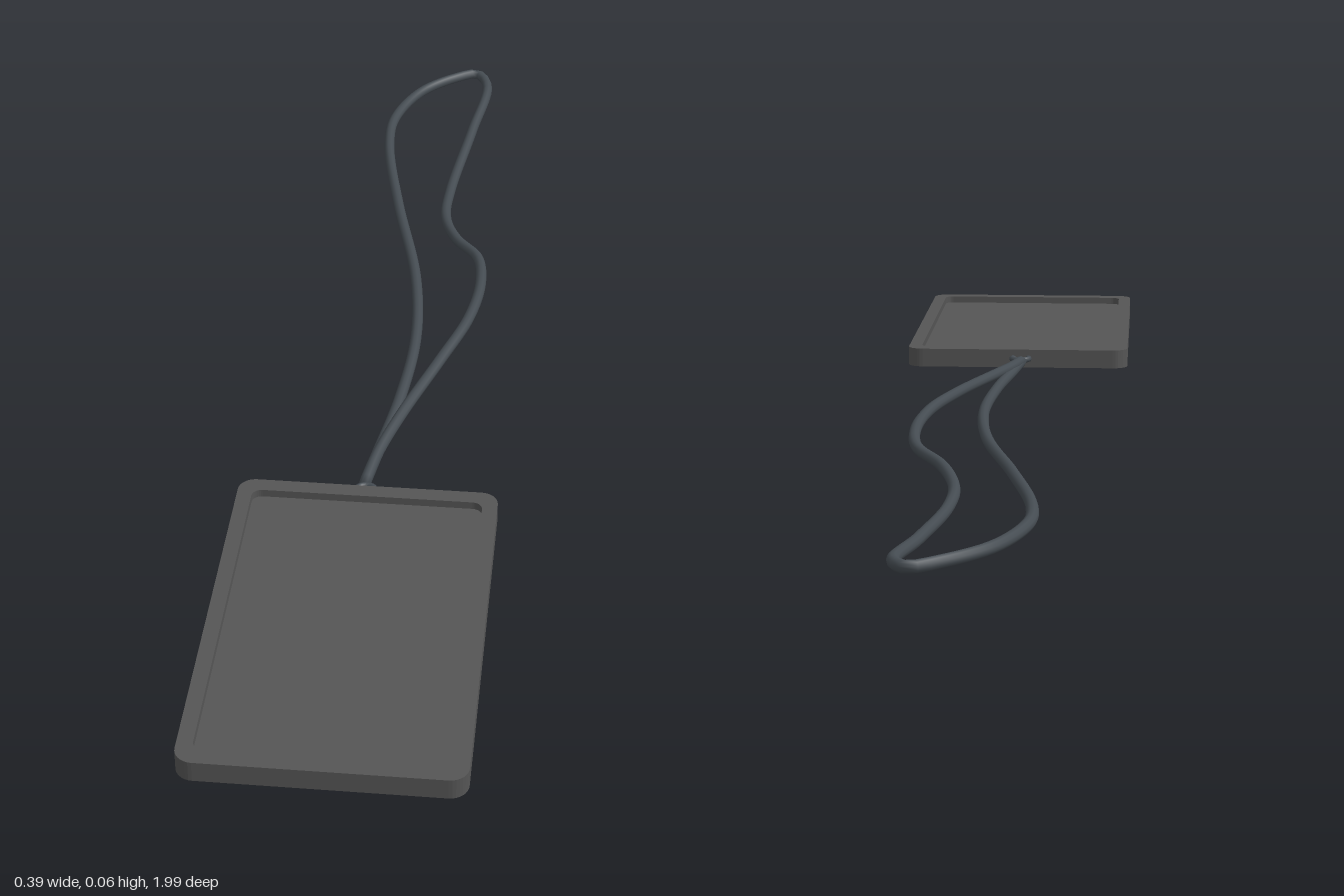
import * as THREE from 'three';

const cardMaterial = new THREE.MeshStandardMaterial({ color: 0x555555 });
const cordMaterial = new THREE.MeshStandardMaterial({ color: 0x454c52 });

// Centred rectangle with rounded corners
function roundedRect(Type, w, h, r) {
  const p = new Type(), x = w / 2, y = h / 2;
  p.moveTo(-x + r, -y);
  p.lineTo(x - r, -y);
  p.absarc(x - r, -y + r, r, -Math.PI / 2, 0);
  p.lineTo(x, y - r);
  p.absarc(x - r, y - r, r, 0, Math.PI / 2);
  p.lineTo(-x + r, y);
  p.absarc(-x + r, y - r, r, Math.PI / 2, Math.PI);
  p.lineTo(-x, -y + r);
  p.absarc(-x + r, -y + r, r, Math.PI, Math.PI * 1.5);
  return p;
}

// Extrudes a shape upward from y0 to y1, lying flat
function slab(name, shape, y0, y1) {
  const geometry = new THREE.ExtrudeGeometry(shape, { depth: y1 - y0, bevelEnabled: false, curveSegments: 4 });
  geometry.rotateX(-Math.PI / 2);
  const mesh = new THREE.Mesh(geometry, cardMaterial);
  mesh.name = name;
  mesh.position.set(-0.001, y0, 0.692);
  return mesh;
}

export function createModel() {
  const model = new THREE.Group();
  model.name = 'cardHolderWithLanyard';

  // Card holder: solid back plate with a raised rim around the recess
  const holder = new THREE.Group();
  holder.name = 'cardHolder';
  const rim = roundedRect(THREE.Shape, 0.39, 0.616, 0.026);
  rim.holes.push(roundedRect(THREE.Path, 0.345, 0.565, 0.015));
  holder.add(
    slab('backPlate', roundedRect(THREE.Shape, 0.39, 0.616, 0.026), 0.028, 0.048),
    slab('rim', rim, 0.048, 0.06)
  );
  model.add(holder);

  // Small ring joining the cord to the holder
  const ring = new THREE.Mesh(new THREE.TorusGeometry(0.015, 0.005, 8, 20), cordMaterial);
  ring.name = 'ring';
  ring.rotation.x = Math.PI / 2;
  ring.position.set(-0.007, 0.045, 0.378);
  model.add(ring);

  // Neck cord: one closed loop, out along the right strand and back along the left
  const path = [
    [-0.011, 0.045, 0.365], [0.0, 0.042, 0.28], [0.02, 0.039, 0.13], [0.03, 0.036, -0.05],
    [0.013, 0.034, -0.24], [-0.04, 0.035, -0.48], [-0.077, 0.037, -0.69], [-0.075, 0.037, -0.79],
    [-0.035, 0.035, -0.9], [0.025, 0.033, -0.965], [0.065, 0.031, -0.988], [0.087, 0.028, -0.95],
    [0.07, 0.016, -0.79], [0.046, 0.009, -0.58], [0.046, 0.014, -0.475], [0.072, 0.025, -0.385],
    [0.113, 0.034, -0.315], [0.125, 0.042, -0.22], [0.113, 0.049, -0.1], [0.077, 0.053, 0.03],
    [0.03, 0.052, 0.18], [0.003, 0.049, 0.28], [-0.009, 0.046, 0.35]
  ].map(p => new THREE.Vector3(...p));
  const cord = new THREE.Mesh(
    new THREE.TubeGeometry(new THREE.CatmullRomCurve3(path, true), 160, 0.009, 10, true),
    cordMaterial
  );
  cord.name = 'cord';
  model.add(cord);

  return model;
}
